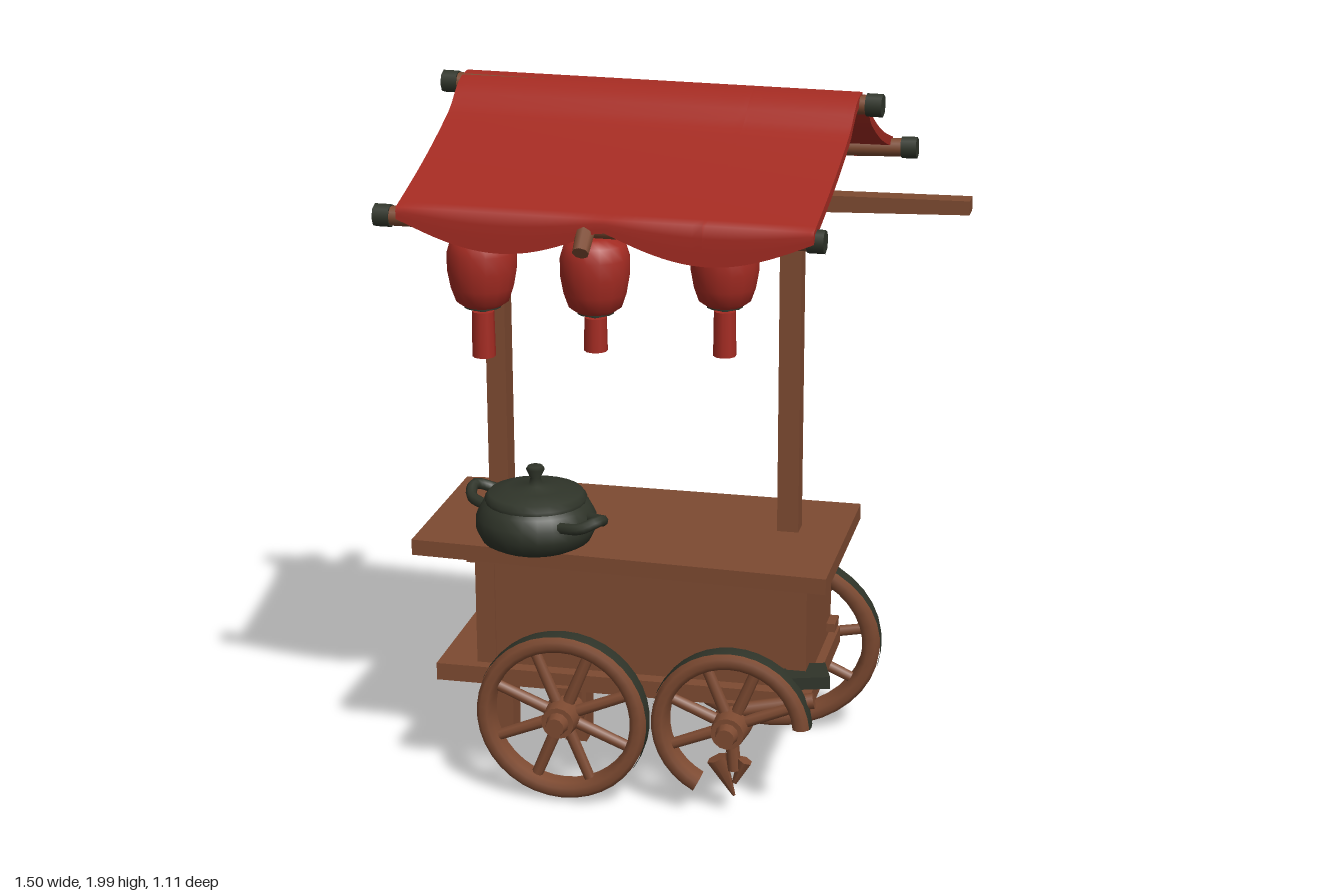
import * as THREE from 'three';

const mat = (name, color) => {
  const m = new THREE.MeshStandardMaterial({ color });
  m.name = name;
  return m;
};
const lerp = THREE.MathUtils.lerp;

export function createModel() {
  const wood = mat('wood', 0x7d4a31);
  const red = mat('red cloth', 0xa42b22);
  const dark = mat('dark iron', 0x2f3429);
  const root = new THREE.Group();
  root.name = 'foodCart';

  const add = (name, geo, material, parent = root) => {
    const m = new THREE.Mesh(geo, material);
    m.name = name;
    parent.add(m);
    return m;
  };
  // box from its minimum and maximum corners
  const box = (name, x0, x1, y0, y1, z0, z1, material = wood, parent = root) => {
    const m = add(name, new THREE.BoxGeometry(x1 - x0, y1 - y0, z1 - z0), material, parent);
    m.position.set((x0 + x1) / 2, (y0 + y1) / 2, (z0 + z1) / 2);
    return m;
  };
  // round bar between two points
  const bar = (name, a, b, r0, r1 = r0, material = wood, parent = root, sides = 10) => {
    const p = new THREE.Vector3(...a), d = new THREE.Vector3(...b).sub(p);
    const m = add(name, new THREE.CylinderGeometry(r1, r0, d.length(), sides), material, parent);
    m.position.copy(p).addScaledVector(d, 0.5);
    m.quaternion.setFromUnitVectors(new THREE.Vector3(0, 1, 0), d.normalize());
    return m;
  };
  const lathe = (name, pts, material, parent = root, seg = 20) =>
    add(name, new THREE.LatheGeometry(pts.map(p => new THREE.Vector2(...p)), seg), material, parent);

  // counter top, slightly out of square
  const top = new THREE.Shape([[-0.745, -0.25], [0.43, -0.308], [0.43, 0.3], [-0.6, 0.305], [-0.745, 0.29]]
    .map(p => new THREE.Vector2(...p)));
  const topGeo = new THREE.ExtrudeGeometry(top, { depth: 0.045, bevelEnabled: false });
  topGeo.rotateX(-Math.PI / 2);
  add('counterTop', topGeo, wood).position.y = 0.695;

  // cart body
  box('body', -0.575, 0.355, 0.34, 0.7, -0.255, 0.188);
  box('apron', -0.6, 0.38, 0.67, 0.698, -0.27, 0.21);
  box('bottomSlab', -0.69, 0.38, 0.315, 0.365, -0.28, 0.23);
  for (const x of [-0.58, 0.305]) box('cornerPost', x, x + 0.055, 0.34, 0.7, 0.145, 0.195);
  for (const y of [0.43, 0.6]) box('backPanelRail', -0.2, 0.2, y, y + 0.02, -0.263, -0.253);
  for (const x of [-0.2, 0.18]) box('backPanelStile', x, x + 0.02, 0.43, 0.62, -0.263, -0.253);
  box('sidePeg', 0.34, 0.37, 0.585, 0.61, -0.25, -0.225, dark);
  box('sideBlock', 0.34, 0.38, 0.385, 0.41, -0.25, -0.18);
  const handle = box('brokenHandle', 0.3, 0.42, 0.385, 0.42, 0.14, 0.24, dark);
  handle.rotation.y = 0.3;
  bar('handleStub', [0.18, 0.31, 0.25], [0.39, 0.35, 0.23], 0.022);

  // posts, legs and beams; weathered faces are dark
  const weathered = [wood, dark, wood, wood, wood, dark];
  box('leftLeg', -0.625, -0.568, 0, 0.72, -0.19, -0.115);
  box('leftPost', -0.625, -0.568, 0.72, 1.93, -0.187, -0.115, weathered);
  box('postStain', -0.57, -0.565, 1.71, 1.87, -0.187, -0.152, dark);
  box('rearLeg', -0.41, -0.345, 0, 0.33, -0.2, -0.115);
  box('rightPost', 0.235, 0.295, 0.73, 1.68, -0.09, -0.03);
  box('postHead', -0.625, -0.568, 1.86, 1.915, -0.16, 0, weathered);
  const beam = box('longBeam', -0.62, 0.745, 1.635, 1.7, -0.092, -0.03);
  const bp = beam.geometry.attributes.position;
  for (let i = 0; i < bp.count; i++) // tapered, slightly raised free end
    if (bp.getX(i) > 0) bp.setY(i, bp.getY(i) > 0 ? 0.044 : 0.006);
  beam.geometry.computeVertexNormals();
  box('crossBeam', -0.615, -0.56, 1.655, 1.71, -0.17, 0.05, weathered);
  box('crossBeamEnd', -0.615, -0.56, 1.66, 1.71, -0.38, -0.17, [dark, dark, wood, dark, dark, dark]);

  // wheels: rim with an iron tread, spokes and a hub; start and sweep in radians from the bottom
  function wheel(name, x, y, z, r, out, spokes, capMaterial, start = 0, sweep = Math.PI * 2) {
    const g = new THREE.Group();
    g.name = name;
    g.position.set(x, y, z);
    root.add(g);
    const w = 0.032, t = 0.045, s = Math.ceil(sweep * 6);
    const ring = (part, pts, material) => {
      const geo = new THREE.LatheGeometry(pts.map(p => new THREE.Vector2(...p)), s, start, sweep);
      add(part, geo.rotateX(Math.PI / 2), material, g);
    };
    ring('rim', [[r - t, -w * 0.7], [r - t * 0.7, -w], [r - 0.012, -w], [r, -w * 0.7], [r, w * 0.7],
      [r - 0.012, w], [r - t * 0.7, w], [r - t, w * 0.7], [r - t, -w * 0.7]], wood);
    ring('tread', [[r + 0.002, -w * 0.75], [r + 0.004, 0], [r + 0.002, w * 0.75]], dark);
    for (let i = 0; i < spokes; i++) {
      const a = (i + 0.5) / spokes * Math.PI * 2;
      if (a < start - 0.1 || a > start + sweep) continue;
      const end = [Math.sin(a) * (r - 0.03), -Math.cos(a) * (r - 0.03), 0];
      bar('spoke', [0, 0, 0], end, 0.018, 0.016, wood, g, 8);
    }
    bar('hub', [0, 0, -0.04 * out], [0, 0, 0.058 * out], 0.056, 0.046, wood, g, 14);
    bar('hubCap', [0, 0, 0.05 * out], [0, 0, 0.088 * out], 0.034, 0.026, capMaterial, g, 12);
    return g;
  }
  wheel('frontWheel', -0.315, 0.255, 0.265, 0.243, 1, 8, wood);
  const broken = wheel('brokenWheel', 0.165, 0.268, 0.265, 0.222, 1, 8, wood, 1.65, 4.15);
  bar('brokenSpoke', [0, 0, 0], [0.01, -0.13, 0], 0.018, 0.02, wood, broken, 8);
  bar('splinter', [-0.04, -0.1, 0], [0.01, -0.21, 0], 0.03, 0.004, wood, broken, 6);
  bar('splinterSide', [0.04, -0.1, 0], [0.01, -0.17, 0], 0.022, 0.008, wood, broken, 6);
  const back = wheel('backWheel', 0.167, 0.287, -0.338, 0.284, -1, 9, dark);
  back.rotation.set(0.08, 0.08, 0);
  back.scale.x = 1.13;
  for (const [x, z0, z1] of [[-0.315, 0.19, 0.25], [0.165, 0.19, 0.25], [0.167, -0.3, -0.2]])
    box('axleBracket', x - 0.035, x + 0.035, 0.235, 0.33, z0, z1);

  // awning poles with dark tips that cap their ends
  const pole = (name, a, b) => {
    bar(name, a, b, 0.026);
    const d = new THREE.Vector3(...b).sub(new THREE.Vector3(...a)).normalize();
    const along = (p, k) => [p[0] + d.x * k, p[1] + d.y * k, p[2] + d.z * k];
    for (const [p, k] of [[a, 1], [b, -1]])
      bar(name + 'Tip', along(p, -0.004 * k), along(p, 0.04 * k), 0.031, 0.031, dark, root, 8);
  };
  pole('ridgePole', [-0.715, 1.962, -0.095], [0.505, 1.96, -0.022]);
  pole('frontEavePole', [-0.745, 1.712, 0.44], [0.44, 1.715, 0.488]);
  pole('backEavePole', [-0.12, 1.72, -0.53], [0.535, 1.742, -0.515]);
  bar('eavePeg', [-0.175, 1.72, 0.47], [-0.175, 1.665, 0.54], 0.026, 0.022, wood, root, 8);

  // cloth: a thin box bent from ridge to eave, arched over the ridge pole, with a hanging hem;
  // u0 to u1 is its part of the width
  function cloth(name, dir, ridge, eave, sag, hem, material, u0 = 0, u1 = 1) {
    const geo = new THREE.BoxGeometry(1, 1, 1, 32, 1, 24), p = geo.attributes.position, t = 0.028;
    for (let i = 0; i < p.count; i++) {
      const u = lerp(u0, u1, p.getX(i) + 0.5), v = 0.5 + p.getZ(i) * dir, under = p.getY(i) < 0 ? 1 : 0;
      const w = Math.min(1, v / 0.88), k = Math.max(0, (v - 0.88) / 0.12);
      const x = lerp(lerp(ridge[0], ridge[1], u), lerp(eave[0], eave[1], u), w);
      const z = lerp(lerp(ridge[3], ridge[4], u), lerp(eave[3], eave[4], u), w);
      const y = lerp(ridge[2], eave[2], w) - sag * Math.sin(Math.PI * w)
        + 0.022 * Math.sin(Math.PI * Math.min(1, w * 4))
        - k * (0.03 + hem * Math.abs(Math.sin(2 * Math.PI * u)));
      p.setXYZ(i, x, y - under * t * (1 - k), z - dir * under * t * k);
    }
    geo.computeVertexNormals();
    add(name, geo, material);
  }
  // edges: x start, x end, y, z at start, z at end
  const ridge = [-0.66, 0.45, 1.99, -0.125, -0.045], eave = [-0.68, 0.42, 1.745, 0.485, 0.525];
  cloth('frontAwning', 1, ridge, eave, 0.018, 0.075, [red, red, red, wood, red, red], 0, 0.74);
  cloth('frontAwningEnd', 1, ridge, eave, 0.018, 0.075, red, 0.74, 1);
  cloth('backAwning', -1, [0.07, 0.455, 1.985, -0.04, -0.02], [0.045, 0.465, 1.765, -0.548, -0.542], 0.025, 0.025, red);

  // hanging lanterns: x, z, body centre height, tassel bottom
  for (const [x, z, y, low] of [[-0.59, 0.02, 1.467, 1.215], [-0.27, 0.015, 1.467, 1.25], [0.055, -0.172, 1.452, 1.2]]) {
    const g = new THREE.Group();
    g.name = 'lantern';
    g.position.set(x, y, z);
    root.add(g);
    lathe('lanternBody', [[0.052, -0.105], [0.074, -0.09], [0.088, -0.05], [0.097, 0], [0.097, 0.05],
      [0.085, 0.088], [0.055, 0.108], [0, 0.108]], red, g, 16);
    bar('lanternBase', [0, -0.109, 0], [0, -0.1, 0], 0.052, 0.052, dark, g, 12);
    bar('lanternNeck', [0, -0.135, 0], [0, -0.1, 0], 0.014, 0.014, dark, g, 8);
    bar('tassel', [0, low - y, 0], [0, -0.122, 0], 0.033, 0.031, red, g, 10);
  }

  // lidded pot
  const pot = new THREE.Group();
  pot.name = 'pot';
  pot.position.set(-0.4, 0.74, 0.195);
  pot.rotation.y = -0.5;
  root.add(pot);
  lathe('potBody', [[0, 0], [0.12, 0], [0.15, 0.016], [0.167, 0.05], [0.166, 0.085], [0.15, 0.115], [0.135, 0.128]], dark, pot, 24);
  lathe('potLid', [[0.138, 0.12], [0.142, 0.135], [0.13, 0.15], [0.08, 0.163], [0.02, 0.168], [0.014, 0.19],
    [0.026, 0.215], [0.02, 0.224], [0, 0.224]], dark, pot, 24);
  for (const s of [-1, 1]) {
    const curve = new THREE.CatmullRomCurve3([[0.14, 0.09, 0.055], [0.205, 0.1, 0.045], [0.235, 0.118, 0],
      [0.205, 0.1, -0.045], [0.14, 0.09, -0.055]].map(p => new THREE.Vector3(p[0] * s, p[1], p[2] * s)));
    add('potHandle', new THREE.TubeGeometry(curve, 16, 0.016, 8), dark, pot);
  }
  return root;
}
